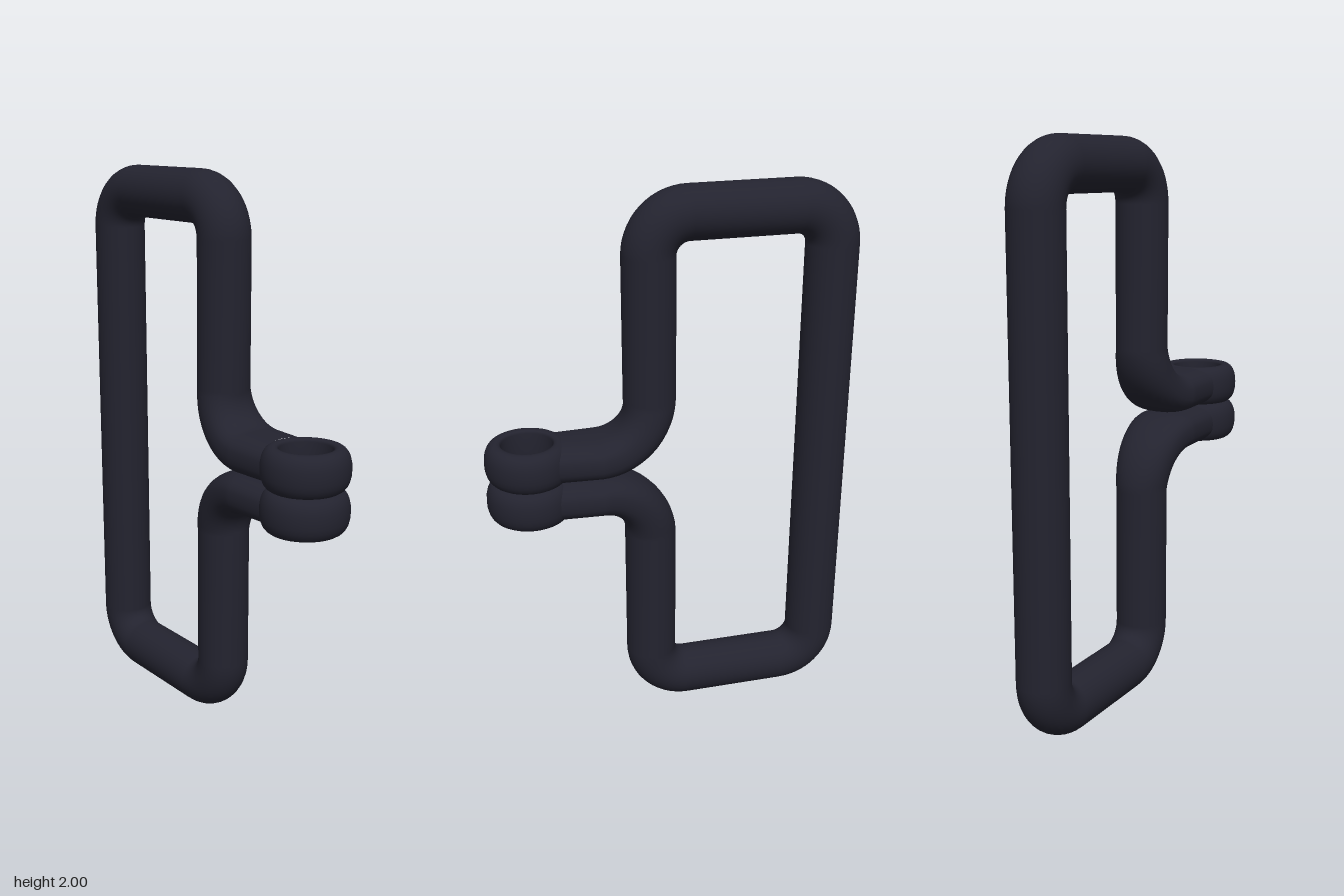
import * as THREE from 'three';

const TAB_Y = 0.072;   // height of each tab's middle above or below y = 1
const EYE_U = 0.5;     // distance of the eyes from the origin, in the plane of the loop
const SIDES = 32;

// Centre line with rounded right-angle corners; flat = 0 for the round bar, 1 for the flat tab
function centreLine() {
  const corners = [
    [0.4, 1 + TAB_Y, 0], [0.064, 1 + TAB_Y, 0.19], [0.064, 1.907, 0.135], [-0.582, 1.907, 0.135],
    [-0.582, 0.093, 0.135], [0.064, 0.093, 0.135], [0.064, 1 - TAB_Y, 0.19], [0.4, 1 - TAB_Y, 0],
  ].map(([x, y, r]) => ({ p: new THREE.Vector2(x, y), r }));
  const last = corners.length - 1;
  const dir = (a, b) => corners[b].p.clone().sub(corners[a].p).normalize();
  const line = [{ p: corners[0].p, t: dir(0, 1), flat: 1, end: true }];
  for (let i = 1; i < last; i++) {
    const { p, r } = corners[i];
    const d1 = dir(i - 1, i), d2 = dir(i, i + 1);
    const centre = p.clone().addScaledVector(d1, -r).addScaledVector(d2, r);
    const steps = 14;
    for (let j = 0; j <= steps; j++) {
      const a = (j / steps) * Math.PI / 2, c = Math.cos(a), s = Math.sin(a);
      line.push({
        p: centre.clone().addScaledVector(d2, -r * c).addScaledVector(d1, r * s),
        t: d1.clone().multiplyScalar(c).addScaledVector(d2, s),
        flat: i === 1 ? 1 - j / steps : i === last - 1 ? j / steps : 0,
      });
    }
  }
  line.push({ p: corners[last].p, t: dir(last - 1, last), flat: 1, end: true });
  return line;
}

// Sweep a section that changes from a circle to a flattened oval
function sweptRod() {
  const pos = [], index = [];
  const power = (v, e) => Math.sign(v) * Math.abs(v) ** e;
  const line = centreLine();
  line.forEach(({ p, t, flat, end }, i) => {
    const wide = end ? 0.116 : THREE.MathUtils.lerp(0.093, 0.127, flat);
    const high = THREE.MathUtils.lerp(0.093, 0.072, flat);
    const e = 1 - 0.25 * flat;
    for (let j = 0; j < SIDES; j++) {
      const a = (j / SIDES) * Math.PI * 2;
      const z = wide * power(Math.cos(a), e), h = high * power(Math.sin(a), e);
      // the ends follow the curve of the eye so that they stay inside it
      const x = end ? EYE_U - Math.sqrt(0.12 ** 2 - z * z) : p.x - t.y * h;
      pos.push(x, p.y + t.x * h, z);
      if (i < line.length - 1) {
        const k = (j + 1) % SIDES, A = i * SIDES, B = A + SIDES;
        index.push(A + j, B + j, A + k, B + j, B + k, A + k);
      }
    }
  });
  const geo = new THREE.BufferGeometry();
  geo.setAttribute('position', new THREE.Float32BufferAttribute(pos, 3));
  geo.setIndex(index);
  geo.computeVertexNormals();
  return geo;
}

// Ring with a straight bore and a rounded rim
function eyeRing() {
  const pts = [[0.09, 0], [0.09, -0.062], [0.096, -0.07], [0.104, -0.072]];
  for (let j = 0; j <= 12; j++) {
    const a = -Math.PI / 2 + (j / 12) * Math.PI;
    pts.push([0.112 + 0.039 * Math.cos(a), Math.sign(Math.sin(a)) * 0.072 * Math.abs(Math.sin(a)) ** 0.85]);
  }
  pts.push([0.104, 0.072], [0.096, 0.07], [0.09, 0.062], [0.09, 0]);
  return new THREE.LatheGeometry(pts.map(([x, y]) => new THREE.Vector2(x, y)), 40);
}

// Thin web leaving an angular opening in the lower eye
function eyeWeb() {
  const shape = new THREE.Shape().absarc(0, 0, 0.093, 0, Math.PI * 2);
  const hole = new THREE.Path();
  hole.moveTo(-0.021, -0.085);
  hole.lineTo(0.057, -0.071);
  hole.lineTo(0.091, 0.02);
  hole.lineTo(-0.037, 0.08);
  hole.absarc(0, 0, 0.0895, 2.0, 4.47, false);
  shape.holes.push(hole);
  return new THREE.ExtrudeGeometry(shape, { depth: 0.006, bevelEnabled: false, curveSegments: 20 }).rotateX(Math.PI / 2);
}

export function createModel() {
  const model = new THREE.Group();
  model.name = 'clampLoop';
  const metal = new THREE.MeshStandardMaterial({ color: 0x23232f });
  metal.name = 'dark metal';

  const add = (name, geometry, x = 0, y = 0) => {
    const mesh = new THREE.Mesh(geometry, metal);
    mesh.name = name;
    mesh.position.set(x, y, 0);
    model.add(mesh);
  };
  add('bentRod', sweptRod());
  add('upperEye', eyeRing(), EYE_U, 1 + TAB_Y);
  add('lowerEye', eyeRing(), EYE_U, 1 - TAB_Y);
  add('lowerEyeWeb', eyeWeb(), EYE_U, 0.97);

  // the loop stands on the diagonal, tabs towards the front left
  model.rotation.y = -Math.PI / 4;
  return model;
}
